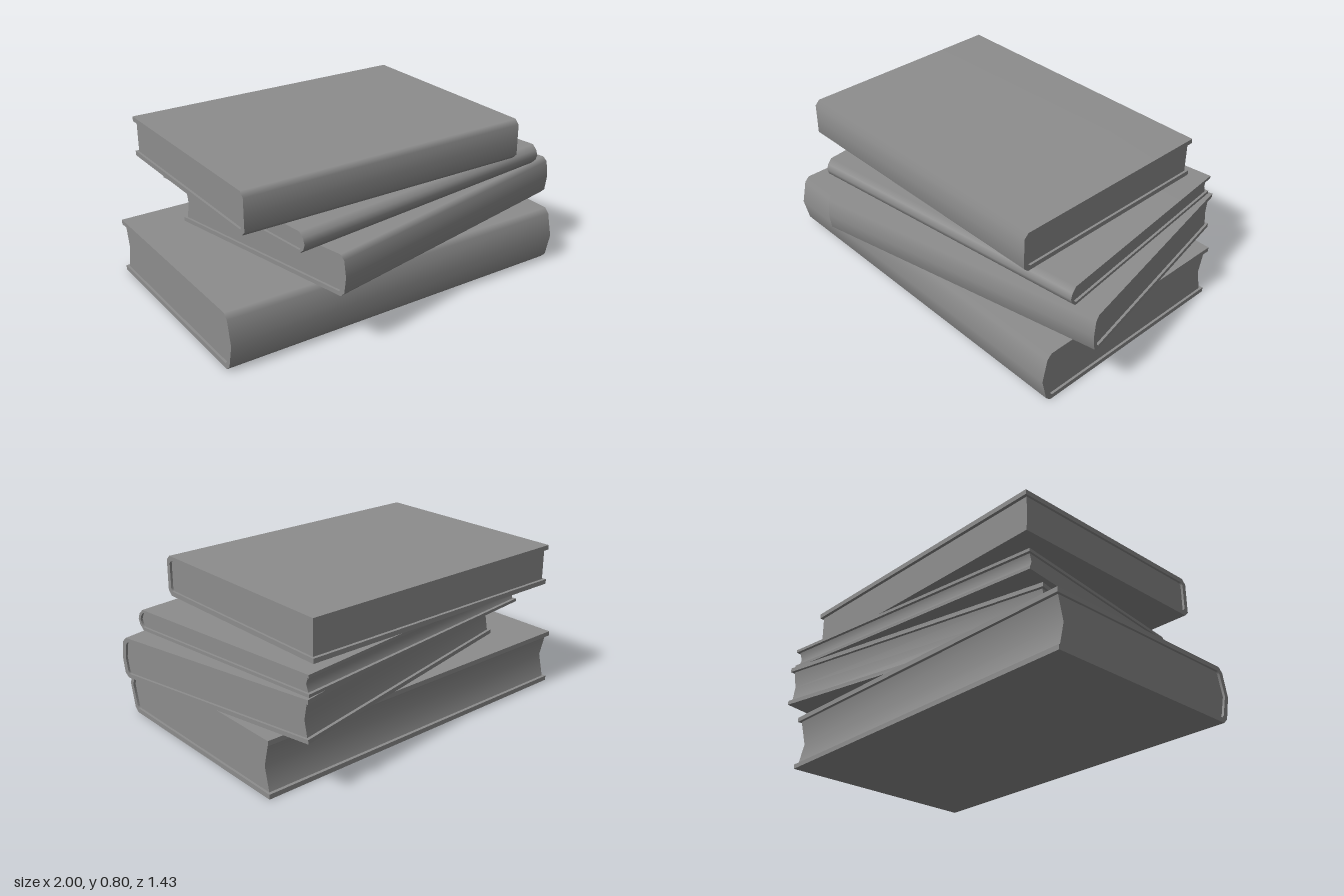
import * as THREE from 'three';

const material = new THREE.MeshStandardMaterial({ color: 0x8d8d8d });

// Smooths the walls of an extruded section across soft corners. Each wall counts
// by its length, so broad flat faces stay flat and the chamfers blend.
function smoothWalls(geometry, points) {
  const walls = points.map(([z, y], i) => {
    const [nextZ, nextY] = points[(i + 1) % points.length];
    const ends = [new THREE.Vector2(z, y), new THREE.Vector2(nextZ, nextY)];
    return { ends, weighted: new THREE.Vector2(nextY - y, z - nextZ) };
  });
  const { position, normal } = geometry.attributes;
  for (let i = 0; i < position.count; i++) {
    if (Math.abs(normal.getZ(i)) > 0.5) continue; // end caps stay flat
    const corner = new THREE.Vector2(position.getX(i), position.getY(i));
    const facing = new THREE.Vector2(normal.getX(i), normal.getY(i));
    const sum = new THREE.Vector2();
    for (const { ends, weighted } of walls) {
      const touches = ends.some((end) => end.distanceTo(corner) < 1e-5);
      if (touches && weighted.dot(facing) > 0.6 * weighted.length()) sum.add(weighted);
    }
    sum.normalize();
    normal.setXYZ(i, sum.x, sum.y, 0);
  }
}

// Extrudes a counterclockwise (z, y) cross-section along x, centred on x = 0.
function extrudeAlongX(points, length) {
  const shape = new THREE.Shape(points.map(([z, y]) => new THREE.Vector2(z, y)));
  const geometry = new THREE.ExtrudeGeometry(shape, { depth: length, bevelEnabled: false });
  smoothWalls(geometry, points);
  geometry.translate(0, 0, -length / 2);
  geometry.rotateY(-Math.PI / 2);
  return geometry;
}

// Spine outline from bottom to top: chamfered corners and a bulge in the middle.
function spine(front, bottom, top, chamfer, bulge) {
  const side = front - bulge;
  return [
    [side - chamfer, bottom],
    [side, bottom + chamfer],
    [front, (bottom + top) / 2],
    [side, top - chamfer],
    [side - chamfer, top],
  ];
}

function createBook({ name, length, width, height, board, chamfer, bulge, overhang, hollow, position, turn }) {
  const book = new THREE.Group();
  book.name = name;
  const front = width / 2;
  const back = -width / 2;
  const inner = spine(front - board, board, height - board, chamfer * 0.55, bulge);

  // Wrapped cover: both boards and the spine in one C-shaped section
  const coverSection = [
    [back, 0],
    ...spine(front, 0, height, chamfer, bulge),
    [back, height],
    [back, height - board],
    ...inner.slice().reverse(),
    [back, board],
  ];
  const cover = new THREE.Mesh(extrudeAlongX(coverSection, length), material);
  cover.name = 'cover';

  // Page block, set in from the boards, with a hollow fore edge
  const edge = back + overhang;
  const pageSection = [[edge, board], ...inner, [edge, height - board]];
  if (hollow > 0) pageSection.push([edge + hollow, height / 2]);
  const pages = new THREE.Mesh(extrudeAlongX(pageSection, length - 0.024), material);
  pages.name = 'pages';

  book.add(cover, pages);
  book.position.set(...position);
  book.rotation.y = turn;
  return book;
}

export function createModel() {
  const stack = new THREE.Group();
  stack.name = 'bookStack';
  // Listed from the bottom of the stack to the top
  const books = [
    { name: 'bottomBook', length: 1.873, width: 1.15, height: 0.284, board: 0.024, chamfer: 0.025,
      bulge: 0.027, overhang: 0.016, hollow: 0.028, position: [-0.0635, 0, -0.005], turn: 0 },
    { name: 'lowerMiddleBook', length: 1.54, width: 1.131, height: 0.205, board: 0.021, chamfer: 0.022,
      bulge: 0.011, overhang: 0.015, hollow: 0.014, position: [0.128, 0.284, 0], turn: 0.21 },
    { name: 'upperMiddleBook', length: 1.542, width: 1.131, height: 0.104, board: 0.015, chamfer: 0.024,
      bulge: 0.01, overhang: 0.015, hollow: 0.012, position: [0.049, 0.489, -0.046], turn: 0.121 },
    { name: 'topBook', length: 1.538, width: 1.12, height: 0.206, board: 0.024, chamfer: 0.024,
      bulge: 0, overhang: 0.016, hollow: 0, position: [-0.105, 0.593, -0.066], turn: 0.003 },
  ];
  for (const book of books) stack.add(createBook(book));
  return stack;
}
